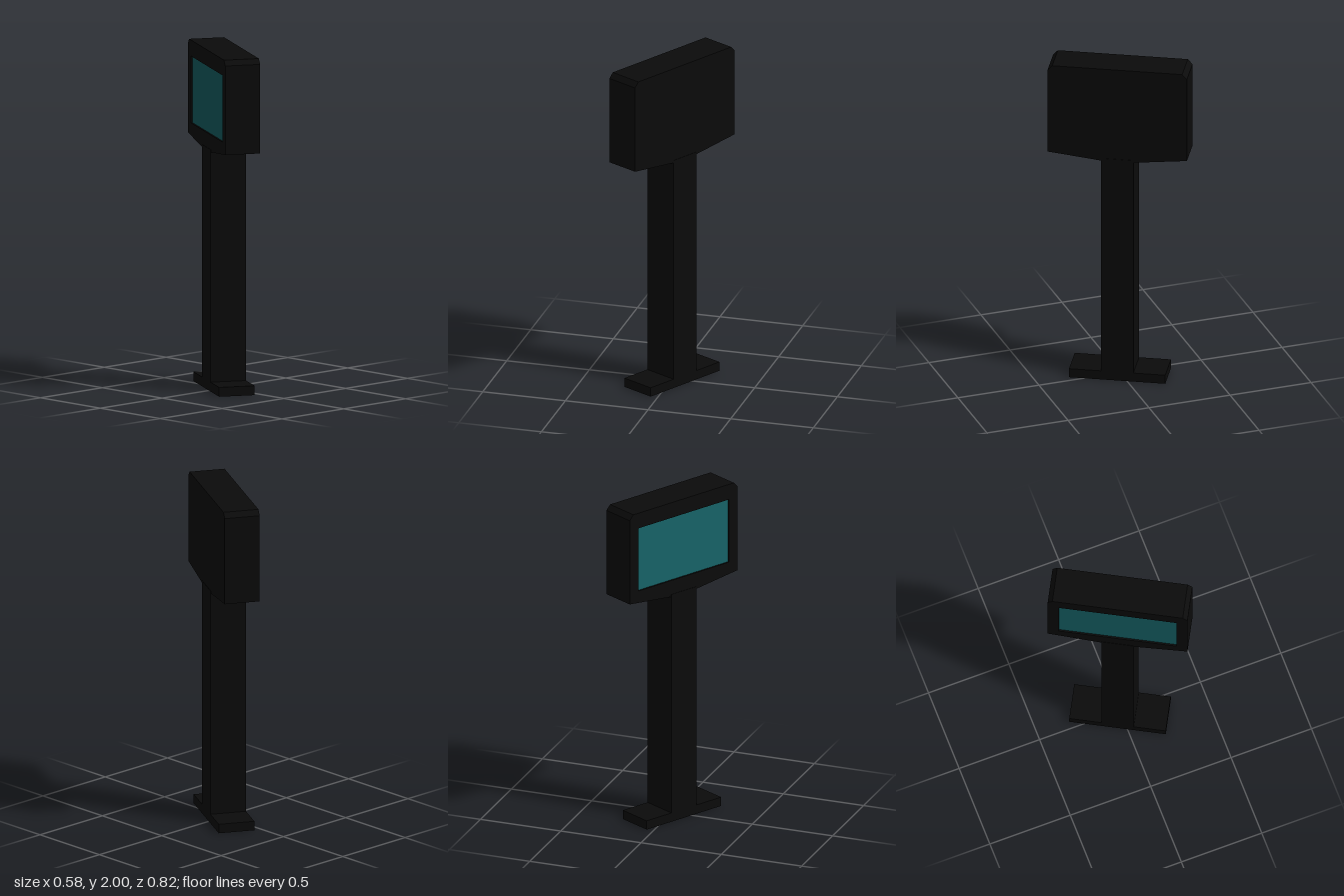
import * as THREE from 'three';

const dark = new THREE.MeshStandardMaterial({ color: 0x0b0b0b, flatShading: true });
const teal = new THREE.MeshStandardMaterial({ color: 0x17666a, flatShading: true });

// Head outline: clipped top corners, shallow tapered underside
function headShape() {
  const half = [[0.095, 1.41], [0.41, 1.445], [0.41, 1.97], [0.382, 2]];
  const mirrored = half.map(([x, y]) => [-x, y]).reverse();
  return new THREE.Shape([...half, ...mirrored].map(([x, y]) => new THREE.Vector2(x, y)));
}

export function createModel() {
  const model = new THREE.Group();
  model.name = 'kiosk';

  const add = (name, geometry, material, x = 0, y = 0, z = 0) => {
    const mesh = new THREE.Mesh(geometry, material);
    mesh.name = name;
    mesh.position.set(x, y, z);
    model.add(mesh);
    return mesh;
  };

  // Foot plate and post
  add('basePlate', new THREE.BoxGeometry(0.566, 0.055, 0.214), dark, 0, 0.0275, 0);
  add('post', new THREE.BoxGeometry(0.19, 1.37, 0.214), dark, 0, 0.74, 0);

  // Solid head casing
  const depth = 0.21, recess = 0.012;
  add('headCasing', new THREE.ExtrudeGeometry(headShape(), { depth: depth - recess, bevelEnabled: false }),
    dark, 0, 0, -depth / 2 + recess);

  // Bezel framing the recessed screen
  const w = 0.345, low = 1.512, high = 1.905;
  const frame = headShape();
  frame.holes.push(new THREE.Path([[-w, low], [-w, high], [w, high], [w, low]]
    .map(([x, y]) => new THREE.Vector2(x, y))));
  add('screenBezel', new THREE.ExtrudeGeometry(frame, { depth: recess, bevelEnabled: false }),
    dark, 0, 0, -depth / 2);

  // Screen on the reader's side
  add('screen', new THREE.PlaneGeometry(2 * w, high - low), teal,
    0, (low + high) / 2, -depth / 2 + recess - 0.002).rotation.y = Math.PI;

  // The whole stand is turned about its post
  model.rotation.y = 1.07;
  const group = new THREE.Group();
  group.name = 'informationKiosk';
  group.add(model);
  return group;
}
